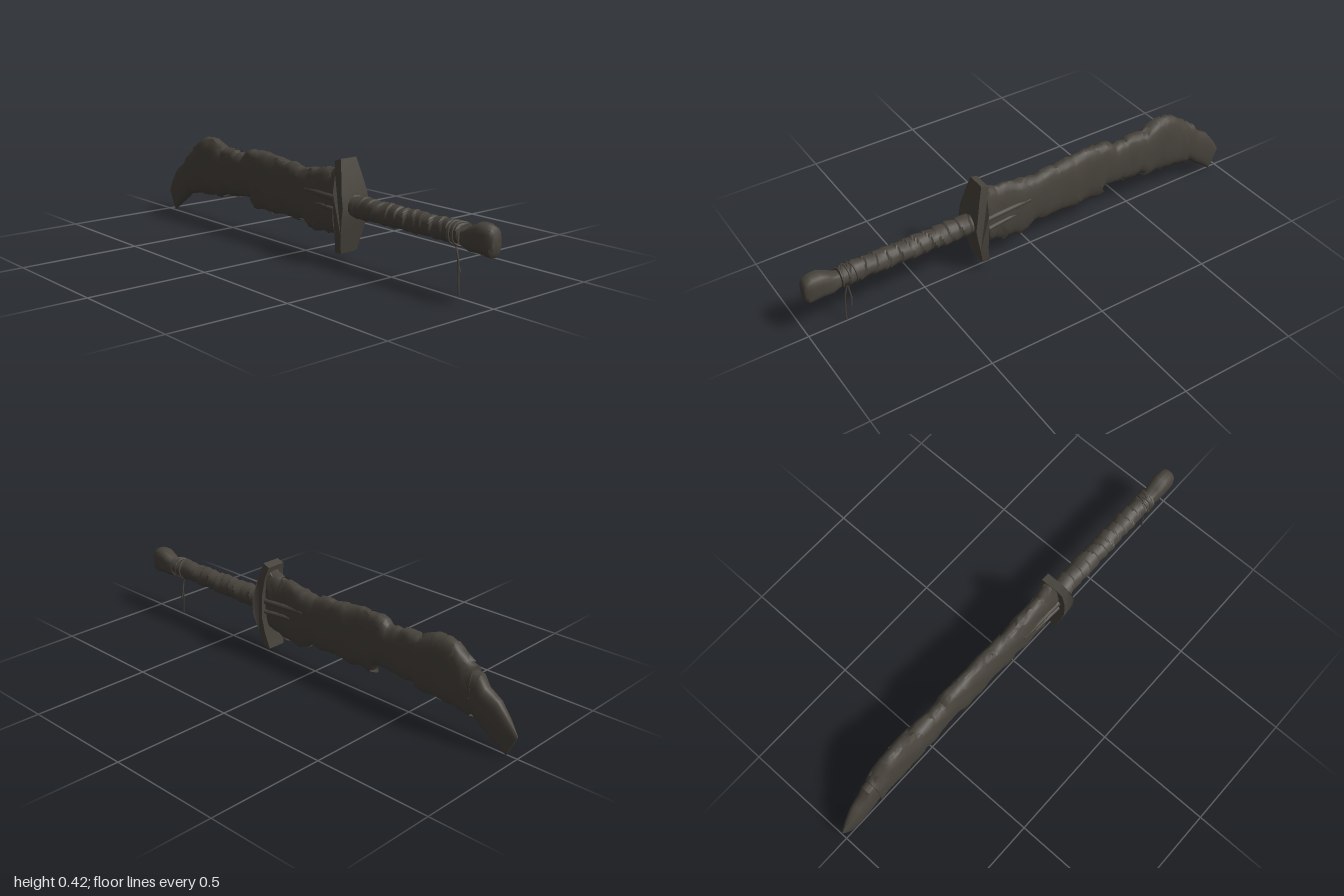
import * as THREE from 'three';
import { toCreasedNormals } from 'three/addons/utils/BufferGeometryUtils.js';

const spow = (v, e) => Math.sign(v) * Math.pow(Math.abs(v), e);

// Piecewise-linear lookup in a list of [x, value]
function lookup(list, x) {
  if (x <= list[0][0]) return list[0][1];
  for (let i = 1; i < list.length; i++) {
    const [x0, v0] = list[i - 1], [x1, v1] = list[i];
    if (x <= x1) return v0 + (v1 - v0) * (x - x0) / (x1 - x0);
  }
  return list[list.length - 1][1];
}

// Skin rings of points running along +x; each ring turns from +z towards +y
function skin(rings, capped = true) {
  const n = rings[0].length, pos = [], idx = [];
  rings.forEach(r => r.forEach(p => pos.push(...p)));
  for (let i = 0; i < rings.length - 1; i++) for (let j = 0; j < n; j++) {
    const a = i * n + j, b = i * n + (j + 1) % n;
    idx.push(a, a + n, b + n, a, b + n, b);
  }
  if (capped) [0, rings.length - 1].forEach(i => {
    const c = pos.length / 3, sum = [0, 0, 0];
    rings[i].forEach(p => p.forEach((v, k) => { sum[k] += v / n; }));
    pos.push(...sum);
    for (let j = 0; j < n; j++) {
      const a = i * n + j, b = i * n + (j + 1) % n;
      if (i === 0) idx.push(c, a, b); else idx.push(c, b, a);
    }
  });
  const g = new THREE.BufferGeometry();
  g.setAttribute('position', new THREE.Float32BufferAttribute(pos, 3));
  g.setIndex(idx);
  return toCreasedNormals(g, 0.7);
}

// Rounded ring from a top point [x, y] to a bottom point [x, y]
function ring(top, bottom, zc, hz, n = 24, e = 0.75) {
  return Array.from({ length: n }, (_, j) => {
    const a = j / n * Math.PI * 2, s = spow(Math.sin(a), e), t = (s + 1) / 2;
    return [bottom[0] + (top[0] - bottom[0]) * t, bottom[1] + (top[1] - bottom[1]) * t,
      zc + hz * spow(Math.cos(a), e)];
  });
}

// Outline of the cloth-wrapped blade
const TOP = [[-0.81, 0.305], [-0.76, 0.34], [-0.69, 0.388], [-0.607, 0.378], [-0.555, 0.345], [-0.5, 0.352],
  [-0.47, 0.358], [-0.455, 0.33], [-0.44, 0.35], [-0.405, 0.34], [-0.39, 0.365], [-0.286, 0.372], [-0.18, 0.362],
  [-0.02, 0.347], [0.02, 0.345], [0.09, 0.356], [0.12, 0.368], [0.17, 0.372], [0.235, 0.388]];
const BOTTOM = [[-0.81, 0.115], [-0.687, 0.123], [-0.58, 0.134], [-0.527, 0.155], [-0.46, 0.148], [-0.393, 0.165],
  [-0.345, 0.158], [-0.33, 0.128], [-0.18, 0.122], [-0.12, 0.134], [-0.07, 0.124], [-0.008, 0.139],
  [0.024, 0.108], [0.142, 0.106], [0.235, 0.133]];
const THICK = [[-0.81, 0.037], [-0.7, 0.043], [-0.4, 0.039], [0.235, 0.039]];

function wrapRing(x, grow) {
  const wob = 0.003 * Math.sin(x * 67) + 0.002 * Math.sin(x * 139 + 1);
  return ring([x, lookup(TOP, x) + wob + grow], [x, lookup(BOTTOM, x) + wob - grow], -0.009, lookup(THICK, x) + grow * 0.6)
    .map(([px, y, z], j) => [px, y, z + 0.0025 * Math.sin(x * 31 + y * 40 + j)]);
}

// Open strip of cloth with torn, slanted borders
function clothStrip(x0, x1, seed) {
  const rings = [];
  for (let i = 0; i <= 5; i++) {
    const t = i / 5;
    const base = wrapRing(x0 + (x1 - x0) * t, 0.003 + 0.003 * Math.sin(seed + i));
    rings.push(base.map(([x, y, z], j) => [
      x + 0.012 * Math.sin(j * 1.9 + seed) * Math.abs(2 * t - 1) + (y - 0.25) * 0.12 * Math.sin(seed), y, z]));
  }
  return skin(rings, false);
}

export function createModel() {
  const model = new THREE.Group();
  const iron = new THREE.MeshStandardMaterial({ name: 'darkWeatheredBrown', color: 0x48433c, side: THREE.DoubleSide });
  const add = (name, geometry, parent = model) => {
    const mesh = new THREE.Mesh(geometry, iron);
    mesh.name = name;
    parent.add(mesh);
    return mesh;
  };

  // Bare hooked tip
  add('bladeTip', skin([
    ring([-1, 0.096], [-0.955, 0.004], -0.006, 0.005),
    ring([-0.965, 0.152], [-0.917, 0.036], -0.007, 0.02),
    ring([-0.917, 0.212], [-0.874, 0.066], -0.008, 0.028),
    ring([-0.9, 0.222], [-0.85, 0.083], -0.008, 0.03),
    ring([-0.86, 0.245], [-0.82, 0.112], -0.008, 0.033),
    ring([-0.835, 0.288], [-0.8, 0.12], -0.009, 0.034),
    ring([-0.76, 0.3], [-0.74, 0.135], -0.009, 0.034),
  ]));

  // Broad blade bound in cloth
  const xs = [];
  for (let i = 0; i <= 70; i++) xs.push(-0.805 + i / 70 * 1.045);
  add('wrappedBlade', skin(xs.map(x => wrapRing(x, 0))));

  // Torn overlapping strips
  const strips = new THREE.Group();
  strips.name = 'clothStrips';
  model.add(strips);
  [[-0.79, -0.72], [-0.66, -0.56], [-0.54, -0.47], [-0.32, -0.2], [-0.13, -0.04], [0.03, 0.12], [0.15, 0.22]]
    .forEach(([a, b], i) => add('clothStrip', clothStrip(a, b, i * 2.3 + 1), strips));

  // Tapered prongs gripping both faces of the blade
  for (const side of [1, -1]) {
    [[0.268, 0.03, 0.011], [0.222, 0.1, 0.008]].forEach(([y, x, r]) => {
      const z = -0.009 + side * 0.039;
      add('guardProng', skin([
        ring([x, y + r * 0.5], [x, y - r * 0.5], z, 0.004, 10, 1),
        ring([x + 0.03, y + r], [x + 0.03, y - r], z, 0.007, 10, 1),
        ring([0.24, y + r * 1.2 - 0.008], [0.24, y - r * 1.2 - 0.008], z, 0.012, 10, 1),
      ]));
    });
  }

  // Guard: side outline whose width swells towards the middle
  const outline = [[0.224, 0.045], [0.257, 0.05], [0.272, 0.12], [0.29, 0.19], [0.296, 0.24], [0.288, 0.29],
    [0.27, 0.36], [0.252, 0.422], [0.22, 0.41], [0.234, 0.36], [0.237, 0.29], [0.238, 0.24], [0.237, 0.19], [0.236, 0.12]];
  const width = [[0.045, 0.04], [0.12, 0.055], [0.19, 0.068], [0.29, 0.066], [0.36, 0.052], [0.422, 0.04]];
  const guard = new THREE.ExtrudeGeometry(new THREE.Shape(outline.map(p => new THREE.Vector2(...p))),
    { depth: 2, bevelEnabled: false });
  const gp = guard.attributes.position;
  for (let i = 0; i < gp.count; i++) gp.setZ(i, (gp.getZ(i) - 1) * lookup(width, gp.getY(i)) - 0.003);
  add('guard', toCreasedNormals(guard, 0.5));

  // Grip with slanted, overlapping binding
  const grip = [];
  for (let i = 0; i <= 84; i++) {
    const x = 0.28 + i / 84 * 0.575, taper = 0.041 - 0.004 * (i / 84);
    grip.push(Array.from({ length: 18 }, (_, j) => {
      const a = j / 18 * Math.PI * 2;
      const turn = x / 0.048 + 0.35 * Math.sin(a + Math.floor(x * 9));
      const r = taper + 0.006 * (turn - Math.floor(turn)) + 0.002 * Math.sin(x * 47 + a * 2);
      return [x, 0.238 + r * Math.sin(a), -0.008 + r * Math.cos(a)];
    }));
  }
  add('boundGrip', skin(grip));

  // Knobbly pommel, pinched at the sides of its end
  const pommel = [[0.835, 0.262, 0.202, 0.032], [0.865, 0.262, 0.194, 0.035], [0.89, 0.277, 0.183, 0.039],
    [0.93, 0.298, 0.185, 0.042], [0.965, 0.297, 0.18, 0.04], [0.988, 0.288, 0.179, 0.036], [0.998, 0.272, 0.195, 0.026]];
  add('pommel', skin(pommel.map(([x, t, b, h]) => ring([x, t], [x, b], -0.006, h, 20, 0.85)
    .map(([px, y, z]) => [px, y, -0.006 + (z + 0.006) * (1 - 0.12 * Math.exp(-Math.pow((y - 0.235) / 0.025, 2)))]))));

  // Cord lashed round the grip with two hanging ends
  const cord = new THREE.Group();
  cord.name = 'cord';
  model.add(cord);
  [[0.803, 0.2], [0.815, -0.25], [0.826, 0.1], [0.838, -0.35]].forEach(([x, tilt]) => {
    const loop = add('cordLoop', new THREE.TorusGeometry(0.043, 0.004, 6, 28), cord);
    loop.rotation.set(0, Math.PI / 2 + tilt, tilt * 0.8);
    loop.position.set(x, 0.236, -0.007);
  });
  const strand = pts => add('hangingStrand', new THREE.TubeGeometry(
    new THREE.CatmullRomCurve3(pts.map(p => new THREE.Vector3(...p))), 20, 0.0035, 6), cord);
  strand([[0.81, 0.2, -0.01], [0.822, 0.175, -0.002], [0.834, 0.13, 0.001], [0.838, 0.07, 0.004], [0.841, 0.008, 0.002]]);
  strand([[0.812, 0.2, -0.006], [0.82, 0.165, -0.008], [0.817, 0.125, -0.016], [0.823, 0.09, -0.022]]);

  return model;
}
